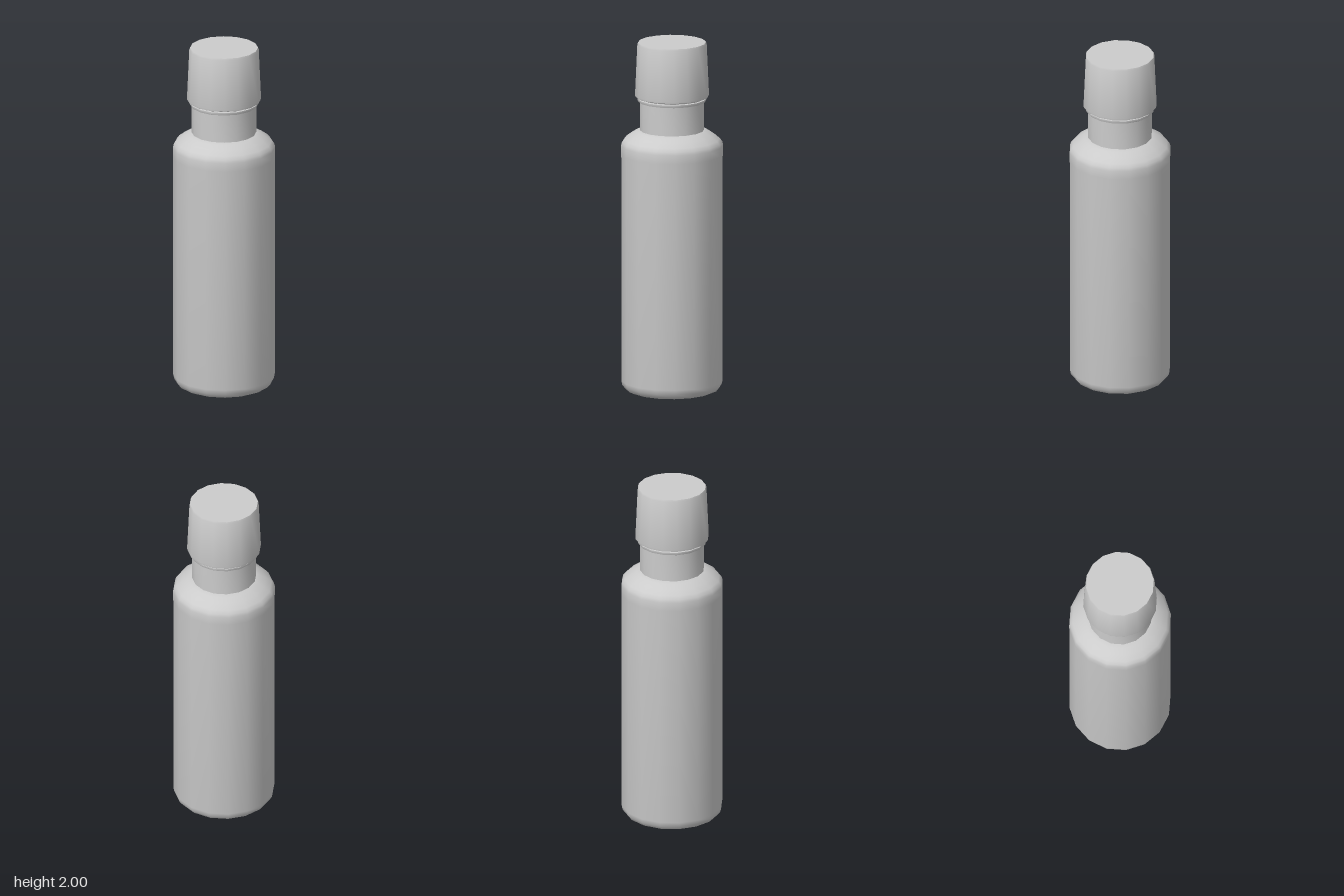
import * as THREE from 'three';
import { toCreasedNormals } from 'three/addons/utils/BufferGeometryUtils.js';

const SIDES = 16;
const material = new THREE.MeshStandardMaterial({ color: 0xcccccc });

// Turns a profile of [radius, height] pairs, listed from bottom to top.
function turned(name, profile, crease) {
  const points = profile.map(([r, y]) => new THREE.Vector2(r, y));
  const geometry = toCreasedNormals(new THREE.LatheGeometry(points, SIDES), crease);
  const mesh = new THREE.Mesh(geometry, material);
  mesh.name = name;
  return mesh;
}

export function createModel() {
  const bottle = new THREE.Group();
  bottle.name = 'bottle';

  // Straight body with a bevelled base and a rounded shoulder
  bottle.add(turned('body', [
    [0, 0], [0.235, 0], [0.262, 0.012], [0.28, 0.035], [0.285, 0.06],
    [0.285, 1.34], [0.287, 1.36], [0.287, 1.41], [0.282, 1.428], [0.268, 1.446],
    [0.235, 1.47], [0.203, 1.49], [0.18, 1.498], [0, 1.498],
  ], 0.7));

  // Narrow neck running up into the cap
  bottle.add(turned('neck', [[0.181, 1.48], [0.181, 1.7], [0, 1.7]], 0.6));

  // Thin sealing ring just under the cap
  bottle.add(turned('sealRing', [
    [0.178, 1.66], [0.19, 1.662], [0.193, 1.668], [0.193, 1.678], [0.178, 1.68],
  ], 0.6));

  // Tapered cap, wider at its lower rim
  bottle.add(turned('cap', [
    [0, 1.684], [0.192, 1.684], [0.206, 1.69], [0.208, 1.7],
    [0.195, 1.99], [0.191, 2], [0, 2],
  ], 0.6));

  return bottle;
}
